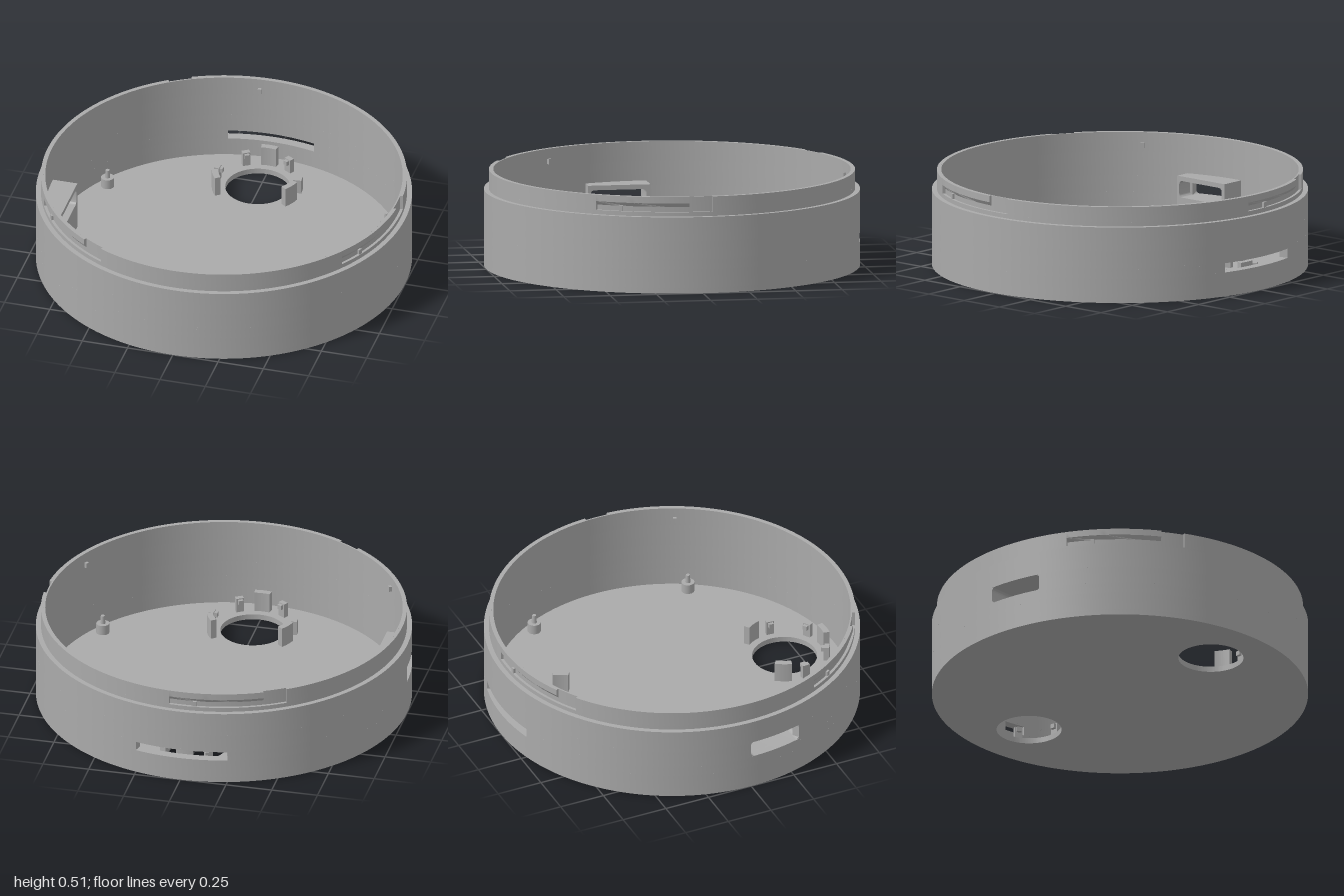
import * as THREE from 'three';
import { toCreasedNormals } from 'three/addons/utils/BufferGeometryUtils.js';

const RAD = Math.PI / 180;

export function createModel() {
  const model = new THREE.Group();
  const grey = new THREE.MeshStandardMaterial({ color: 0xaaaaaa });

  const add = (parent, name, geometry) => {
    const mesh = new THREE.Mesh(geometry, grey);
    mesh.name = name;
    parent.add(mesh);
    return mesh;
  };

  // Extrudes a plan shape upward from y0 to y1
  const raise = (shape, y0, y1, curveSegments) => new THREE.ExtrudeGeometry(shape, {
    depth: y1 - y0, bevelEnabled: false, curveSegments,
  }).rotateX(-Math.PI / 2).translate(0, y0, 0);

  // Part of a ring; angles in degrees run from +z toward +x
  function ring(rIn, rOut, y0, y1, a0 = 0, a1 = 360, rule = null) {
    const shape = new THREE.Shape();
    const t0 = (a0 - 90) * RAD, t1 = (a1 - 90) * RAD;
    if (a1 - a0 >= 360) {
      shape.absarc(0, 0, rOut, 0, Math.PI * 2);
      shape.holes.push(new THREE.Path().absarc(0, 0, rIn, 0, Math.PI * 2, true));
    } else {
      shape.absarc(0, 0, rOut, t0, t1, false);
      shape.absarc(0, 0, rIn, t1, t0, true);
      shape.closePath();
    }
    const g = raise(shape, y0, y1, Math.max(6, Math.ceil((a1 - a0) / 3)));
    if (rule) {
      const p = g.attributes.position, v = new THREE.Vector3();
      for (let i = 0; i < p.count; i++) {
        rule(v.fromBufferAttribute(p, i));
        p.setXYZ(i, v.x, v.y, v.z);
      }
    }
    return toCreasedNormals(g, 0.4);
  }

  // Floor with two round openings
  const FLOOR = 0.03, HOLE_Z = 0.66;
  const disc = new THREE.Shape().absarc(0, 0, 1, 0, Math.PI * 2);
  for (const s of [-1, 1]) {
    disc.holes.push(new THREE.Path().absarc(0, s * HOLE_Z, 0.173, 0, Math.PI * 2, true));
  }
  add(model, 'floor', toCreasedNormals(raise(disc, 0, FLOOR, 120), 0.4));

  // Outer wall in bands, leaving the back slot and the side port open
  const wall = new THREE.Group();
  wall.name = 'wall';
  model.add(wall);
  const PORT = 17.5;
  [
    [FLOOR, 0.13],
    [0.13, 0.18, 194.5, 525.5],
    [0.18, 0.19],
    [0.19, 0.28, 270 + PORT, 630],
    [0.28, 0.41],
  ].forEach(([y0, y1, a0, a1]) => add(wall, 'wallBand', ring(0.95, 1, y0, y1, a0, a1)));

  // Stepped rim with three twist-lock recesses
  const rim = new THREE.Group();
  rim.name = 'rim';
  model.add(rim);
  const R0 = 0.958, R1 = 0.973, TOP = 0.515;
  add(rim, 'rimCore', ring(0.95, R0, 0.41, TOP));
  add(rim, 'rimBase', ring(R0, R1, 0.41, 0.433));
  const slopeUnderside = (v) => {
    if (v.y < 0.47 && Math.hypot(v.x, v.z) > 0.966) v.y = 0.48;
  };
  for (let k = 0; k < 3; k++) {
    const a = 120 * k;
    add(rim, 'rimLand', ring(R0, R1, 0.433, TOP, a + 93.5, a + 176));
    add(rim, 'lockOverhang', ring(R0, R1, 0.46, TOP, a + 56, a + 86, slopeUnderside));
    add(rim, 'lockDetent', ring(0.935, 0.97, 0.433, 0.461, a + 63.6, a + 64.8));
  }

  // Port housing: a block with a rounded opening, its outer end bent to the wall
  const block = new THREE.Shape();
  block.moveTo(-0.02, FLOOR);
  block.lineTo(0.315, FLOOR);
  block.lineTo(0.315, 0.305);
  block.lineTo(-0.02, 0.305);
  block.closePath();
  const z0 = 0, z1 = Math.sin(PORT * RAD), y0 = 0.19, y1 = 0.28, r = 0.02;
  const opening = new THREE.Path();
  opening.absarc(z0 + r, y0 + r, r, Math.PI, Math.PI * 1.5);
  opening.absarc(z1 - r, y0 + r, r, Math.PI * 1.5, Math.PI * 2);
  opening.absarc(z1 - r, y1 - r, r, 0, Math.PI / 2);
  opening.absarc(z0 + r, y1 - r, r, Math.PI / 2, Math.PI);
  opening.closePath();
  block.holes.push(opening);
  const housing = new THREE.ExtrudeGeometry(block, { depth: 0.1, bevelEnabled: false, curveSegments: 6 })
    .rotateY(-Math.PI / 2).translate(-0.815, 0, 0);
  const hp = housing.attributes.position;
  for (let i = 0; i < hp.count; i++) {
    if (hp.getX(i) < -0.9) hp.setX(i, -Math.sqrt(0.998 ** 2 - hp.getZ(i) ** 2));
  }
  add(model, 'portHousing', toCreasedNormals(housing, 0.4));

  // Four mounting posts with pins
  for (const x of [-0.77, 0.77]) {
    for (const z of [-0.45, 0.45]) {
      add(model, 'post', new THREE.CylinderGeometry(0.035, 0.035, 0.055, 24)).position.set(x, 0.0575, z);
      add(model, 'postPin', new THREE.CylinderGeometry(0.011, 0.014, 0.045, 16)).position.set(x, 0.1075, z);
    }
  }

  // Guides and snap hooks around each floor opening
  for (const turn of [0, Math.PI]) {
    const holder = new THREE.Group();
    holder.name = 'holder';
    holder.position.z = turn ? HOLE_Z : -HOLE_Z;
    holder.rotation.y = turn;
    model.add(holder);
    for (const a of [180, 63.5, -63.5]) {
      add(holder, 'curvedGuide', ring(0.212, 0.245, FLOOR, 0.14, a - 11, a + 11));
    }
    for (const a of [94, -94, 148, -148]) {
      const hook = new THREE.Group();
      hook.name = 'snapHook';
      hook.rotation.y = a * RAD;
      holder.add(hook);
      add(hook, 'hookStem', new THREE.BoxGeometry(0.042, 0.08, 0.028)).position.set(0, 0.07, 0.226);
      add(hook, 'hookNub', new THREE.BoxGeometry(0.026, 0.025, 0.018)).position.set(0, 0.092, 0.204);
    }
  }
  return model;
}
